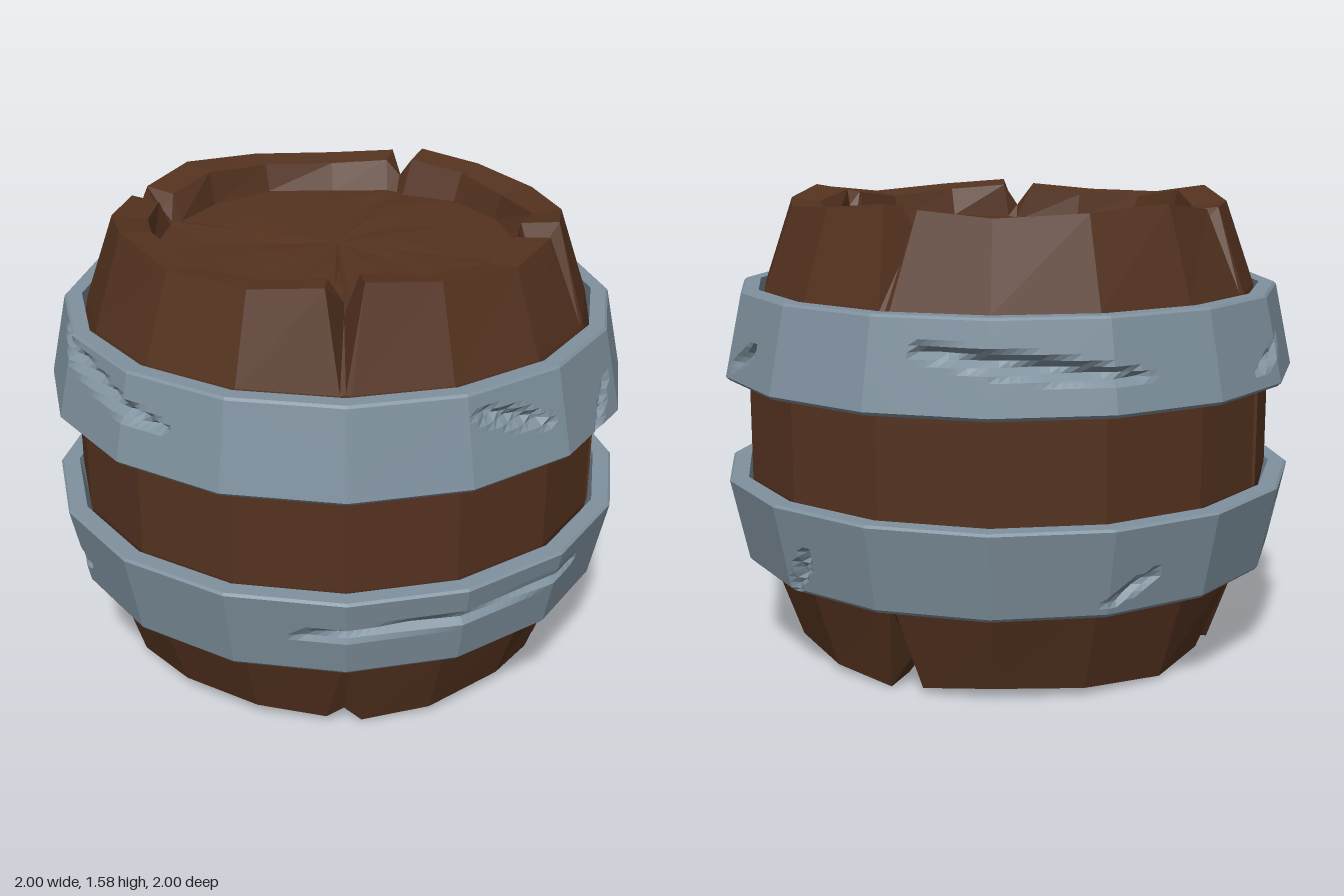
import * as THREE from 'three';

const RAD = Math.PI / 180, STEP = 22.5;

// Distance factor that keeps in-between points on the flat sides of a 16-gon
function flatSide(deg) {
  const d = ((deg % STEP) + STEP) % STEP - STEP / 2;
  return Math.cos((STEP / 2) * RAD) / Math.cos(d * RAD);
}

// Small repeatable unevenness in -1..1
const rough = (i, j) => {
  const s = Math.sin(i * 12.99 + j * 78.23) * 4375.85;
  return 2 * (s - Math.floor(s)) - 1;
};

// Skin a grid of columns (around) and rows (along the profile); point gives {deg, r, y}
function skin(cols, rows, point) {
  const pos = [], index = [];
  for (let i = 0; i < cols; i++) {
    for (let j = 0; j < rows; j++) {
      const { deg, r, y } = point(i, j), f = r * flatSide(deg);
      pos.push(f * Math.sin(deg * RAD), y, f * Math.cos(deg * RAD));
    }
  }
  for (let i = 0; i < cols; i++) {
    const n = (i + 1) % cols;
    for (let j = 0; j < rows - 1; j++) {
      const a = i * rows + j, b = n * rows + j;
      index.push(a, b, b + 1, a, b + 1, a + 1);
    }
  }
  const g = new THREE.BufferGeometry();
  g.setAttribute('position', new THREE.Float32BufferAttribute(pos, 3));
  g.setIndex(index);
  const flat = g.toNonIndexed();
  flat.computeVertexNormals();
  return flat;
}

// Split staves: angle, depth at top, in the middle and at the bottom
const NOTCHES = [
  { deg: 0, top: 1, mid: 0, bottom: 0.15 },
  { deg: 67.5, top: 0.9, mid: 1, bottom: 0.8 },
  { deg: 157.5, top: 0.8, mid: 0, bottom: 0.7 },
  { deg: 247.5, top: 1, mid: 1, bottom: 0.3 },
];
// Staves that stand a little proud of the rim
const PEAKS = [9, 72, 150, 219, 292];

function bodyGeometry() {
  const cols = [];
  for (let k = 0; k < 16; k++) {
    const notch = NOTCHES.find(n => n.deg === k * STEP);
    if (notch) for (const side of [-1, 0, 1]) cols.push({ deg: notch.deg, side, notch });
    else cols.push({ deg: k * STEP, side: 0 });
  }
  // Half profile from the lid centre to the belly: radius, height above middle, groove strength, kind
  const half = [
    [0, 0.65, 0, 'lid'], [0.22, 0.65, 0, 'lid'], [0.44, 0.65, 0, 'lid'], [0.62, 0.65, 0, 'lid'],
    [0.65, 0.75, 0.6, 'rim'], [0.76, 0.75, 1, 'rim'], [0.86, 0.47, 0.12, 'side'],
    [0.92, 0.17, 0.3, 'belly'],
  ];
  const profile = [...half.map(([r, h, g, k]) => [r, -h, g, k]), ...half.slice().reverse()];
  return skin(cols.length, profile.length, (i, j) => {
    const c = cols[i], [r0, h, g, kind] = profile[j], up = Math.sign(h);
    let r = r0, y = Math.abs(h), deg = c.deg;
    if (c.notch) {
      deg += c.side * (kind === 'rim' ? 4.5 : kind === 'lid' ? 3 : 1.2);
      if (c.side === 0) {
        const s = g * (kind === 'belly' ? c.notch.mid : up > 0 ? c.notch.top : c.notch.bottom);
        if (kind === 'rim') y -= 0.1 * s;
        r -= (r0 === 0.65 ? -0.02 : 0.09) * s;
      }
    }
    if (kind === 'rim' && !(c.notch && c.side === 0)) {
      for (const p of PEAKS) {
        const d = Math.abs(((deg - p + 540) % 360) - 180);
        y += 0.042 * Math.max(0, 1 - d / 24);
      }
      if (r0 === 0.65) { r += 0.018 * rough(i, j); y -= 0.015; }
    }
    if (kind === 'lid' && r0 > 0) {
      y += (up > 0 ? 0.008 : 0.022) * rough(i, j);
      if (r0 > 0.6) r += 0.012 * rough(i + 3, j);
    }
    return { deg, r, y: 0.795 + up * y };
  });
}

// Gashes: start angle, start height, end angle, end height, half width, depth
const UPPER_GASHES = [
  [284, 1.24, 324, 1.12, 0.04, 0.045], [25, 1.2, 41, 1.11, 0.03, 0.035],
  [58, 0.98, 64, 1.12, 0.025, 0.03], [30, 1.19, 38, 1.12, 0.025, 0.03],
  [98, 1.18, 107, 1.19, 0.025, 0.025], [116, 1.03, 125, 1.11, 0.025, 0.03],
  [166, 1.17, 209, 1.08, 0.04, 0.045], [239, 1.03, 252, 1.12, 0.025, 0.035],
];
const LOWER_GASHES = [
  [-9, 0.49, 53, 0.53, 0.028, 0.04], [86, 0.38, 94, 0.5, 0.025, 0.03],
  [137, 0.35, 141, 0.48, 0.03, 0.035], [284, 0.51, 294, 0.42, 0.035, 0.035],
  [203, 0.38, 213, 0.46, 0.025, 0.03], [252, 0.45, 264, 0.5, 0.025, 0.03],
];

// How far a point on the hoop face is pushed in by the gashes
function gashDepth(deg, y, gashes) {
  let depth = 0;
  for (const [a0, y0, a1, y1, w, d] of gashes) {
    const k = RAD * 0.96, ux = (a1 - a0) * k, uy = y1 - y0;
    const px = (((deg - a0 + 540) % 360) - 180) * k, py = y - y0;
    const t = THREE.MathUtils.clamp((px * ux + py * uy) / (ux * ux + uy * uy), 0, 1);
    const width = w * (0.45 + 0.55 * Math.sin(t * Math.PI));
    const dist = Math.hypot(px - t * ux, py - t * uy);
    depth = Math.max(depth, d * Math.max(0, 1 - dist / width));
  }
  return depth;
}

// Hoop with a wide edge (towards the belly) and a narrow edge; closed cross-section
function hoopGeometry(y0, y1, upper, gashes) {
  const ROWS = 14, DIV = 12, profile = [];
  const outer = t => (upper ? 1 - 0.06 * t : 0.94 + 0.06 * t);
  const inner = t => (upper ? 0.935 - 0.055 * t : 0.88 + 0.055 * t);
  profile.push([inner(0), y0], [outer(0) - 0.012, y0]);
  for (let j = 0; j <= ROWS; j++) {
    const t = j / ROWS;
    profile.push([outer(t), THREE.MathUtils.lerp(y0 + 0.012, y1 - 0.008, t), true]);
  }
  profile.push([outer(1) - 0.008, y1], [inner(1), y1], [inner(0), y0]);
  return skin(16 * DIV, profile.length, (i, j) => {
    const deg = i * STEP / DIV, [r, y, face] = profile[j];
    return { deg, y, r: face ? r - gashDepth(deg, y, gashes) : r };
  });
}

export function createModel() {
  const group = new THREE.Group();
  group.name = 'barrel';
  const wood = new THREE.MeshStandardMaterial({ color: 0x54321f, flatShading: true });
  const iron = new THREE.MeshStandardMaterial({ color: 0x7f919e, flatShading: true });
  const add = (name, geometry, material) => {
    const mesh = new THREE.Mesh(geometry, material);
    mesh.name = name;
    group.add(mesh);
  };
  add('woodenBody', bodyGeometry(), wood);
  add('upperHoop', hoopGeometry(0.97, 1.27, true, UPPER_GASHES), iron);
  add('lowerHoop', hoopGeometry(0.33, 0.63, false, LOWER_GASHES), iron);

  // Rest the lowest stave on the ground
  const box = new THREE.Box3().setFromObject(group);
  for (const mesh of group.children) mesh.geometry.translate(0, -box.min.y, 0);
  return group;
}
